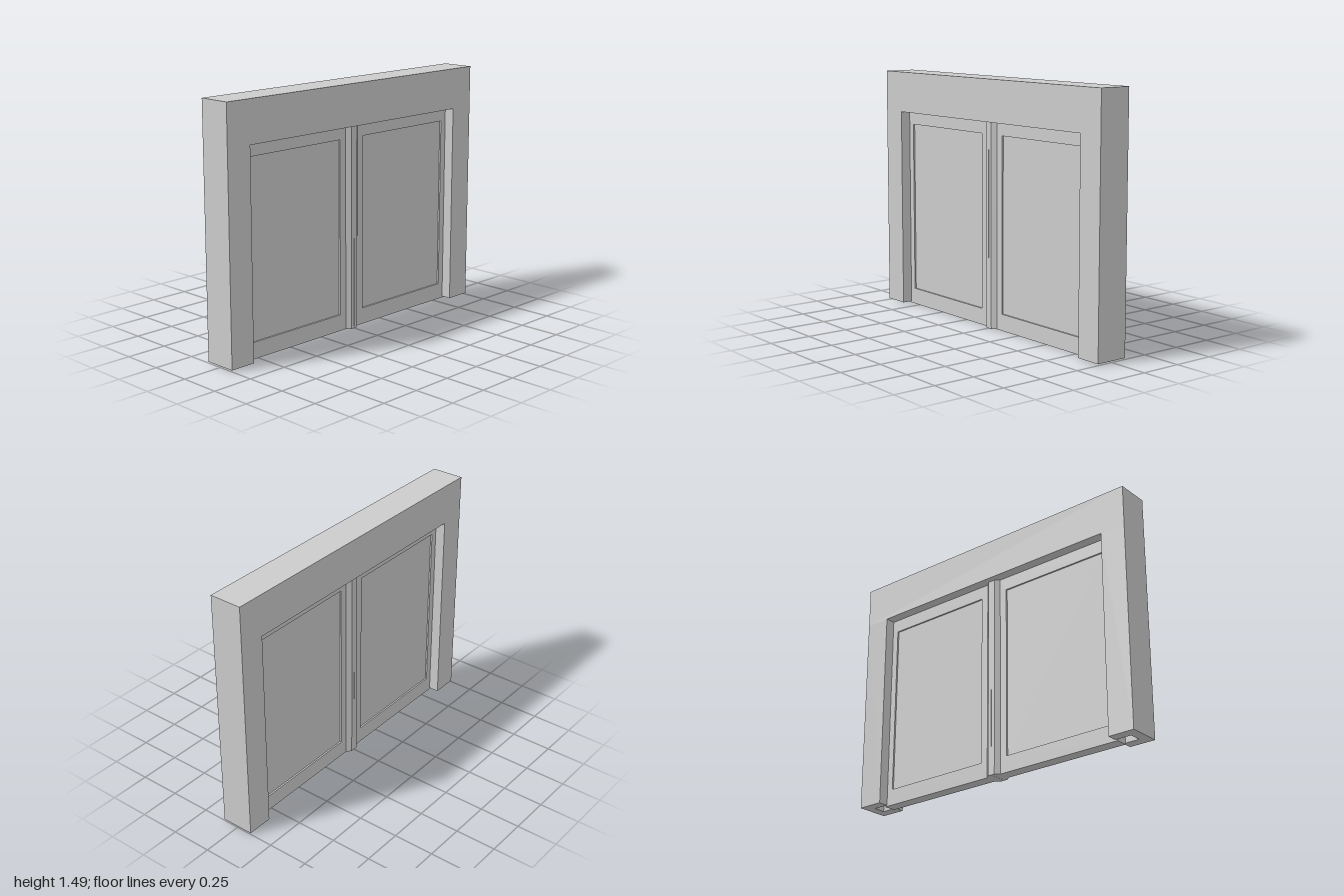
import * as THREE from 'three';

const material = new THREE.MeshStandardMaterial({ color: 0xcccccc, flatShading: true });

function polygon(points) {
  return new THREE.Shape(points.map(([x, y]) => new THREE.Vector2(x, y)));
}

function addMesh(parent, name, geometry) {
  const mesh = new THREE.Mesh(geometry, material);
  mesh.name = name;
  parent.add(mesh);
  return mesh;
}

// Upright prism from a plan outline given as [x, z]
function prism(plan, y0, y1) {
  const shape = polygon(plan.map(([x, z]) => [x, -z]));
  const geometry = new THREE.ExtrudeGeometry(shape, { depth: y1 - y0, bevelEnabled: false });
  return geometry.rotateX(-Math.PI / 2).translate(0, y0, 0);
}

export function createModel() {
  const model = new THREE.Group();
  model.name = 'doubleDoor';

  const frameBottom = 0.008, openingTop = 1.24, top = 1.49;
  const opening = 0.84, halfDepth = 0.1, slot = 0.037;

  // Surround: lintel over two jambs, each with a slot that takes the door edge
  const surround = new THREE.Group();
  surround.name = 'surround';
  model.add(surround);
  const lintel = new THREE.BoxGeometry(2, top - openingTop, halfDepth * 2);
  addMesh(surround, 'lintel', lintel.translate(0, (top + openingTop) / 2, 0));

  for (const side of [-1, 1]) {
    const label = side > 0 ? 'left' : 'right';
    const mirror = (plan) => plan.map(([x, z]) => [x * side, z]);

    addMesh(surround, label + 'Jamb', prism(mirror([
      [1, halfDepth], [1, -halfDepth], [opening, -halfDepth], [opening, -slot],
      [0.94, -slot], [0.94, slot], [opening, slot], [opening, halfDepth],
    ]), frameBottom, openingTop));

    const door = new THREE.Group();
    door.name = label + 'Door';
    model.add(door);

    // Door leaf border with an opening for the sunken panel
    const outer = [[0.04, 0], [0.853, 0], [0.853, openingTop], [0.04, openingTop]];
    const inner = [[0.095, 0.1], [0.095, 1.16], [0.8, 1.16], [0.8, 0.1]];
    const leaf = polygon(mirror(outer));
    leaf.holes.push(polygon(mirror(inner)));
    const border = new THREE.ExtrudeGeometry(leaf, { depth: 0.074, bevelEnabled: false });
    addMesh(door, 'doorBorder', border.translate(0, 0, -0.037));

    // Sunken panel
    const panel = new THREE.BoxGeometry(0.705, 1.06, 0.054);
    addMesh(door, 'doorPanel', panel.translate(side * 0.4475, 0.63, 0));

    // Chamfered meeting stile
    addMesh(door, 'meetingStile', prism(mirror([
      [0.0005, 0.06], [0.023, 0.06], [0.05, 0.036],
      [0.05, -0.036], [0.023, -0.06], [0.0005, -0.06],
    ]), 0, openingTop));
  }
  return model;
}
